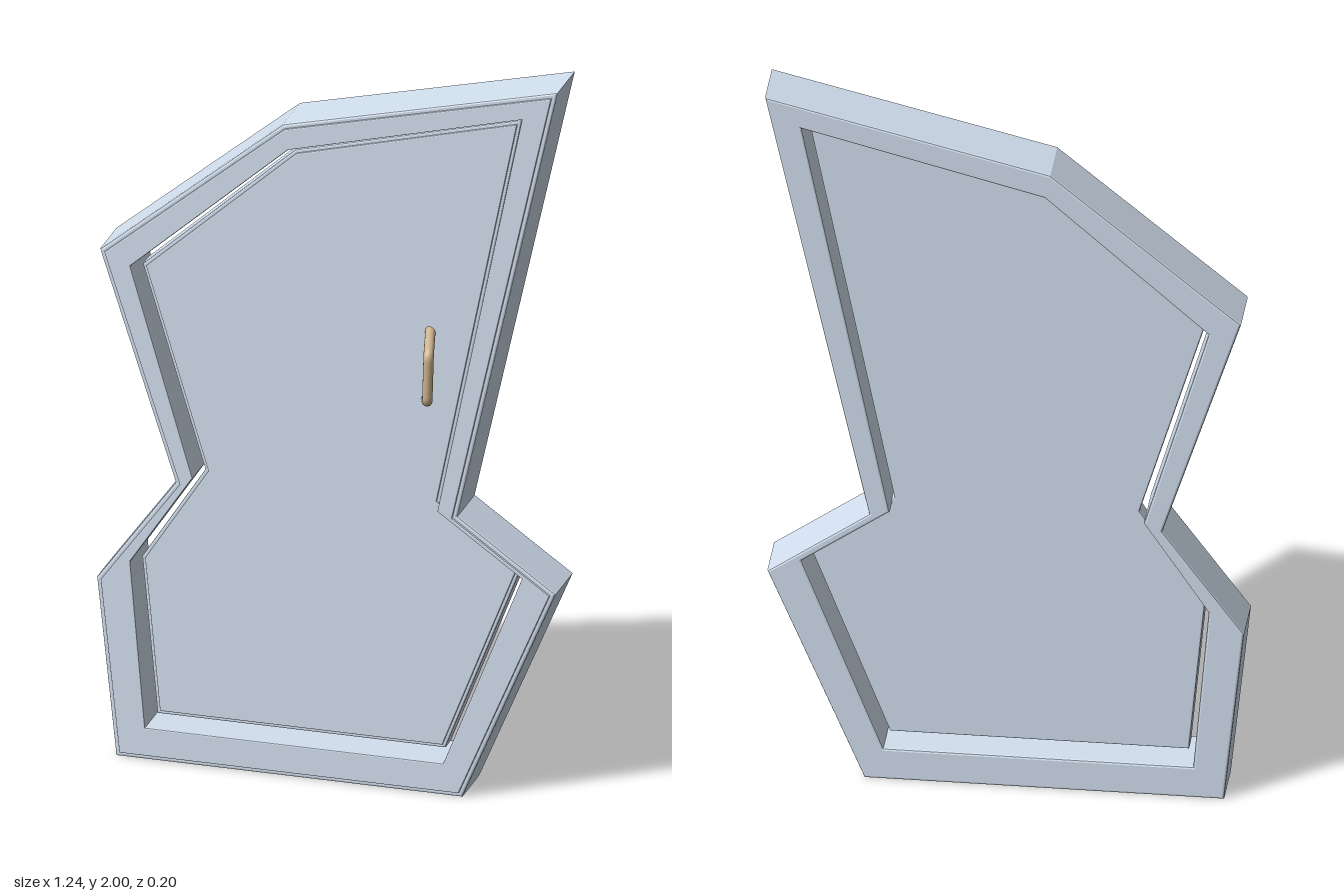
import * as THREE from 'three';

const paint = new THREE.MeshStandardMaterial({ color: 0xd2dfee });
const brass = new THREE.MeshStandardMaterial({ color: 0xccb28c });

// Crooked outlines, counter-clockwise from the lower left corner
const OUTER = [[-0.57, 0], [0.362, 0], [0.614, 0.597], [0.35, 0.783], [0.62, 2],
  [-0.12, 1.82], [-0.614, 1.41], [-0.41, 0.783], [-0.622, 0.493]];
const OPENING = [[-0.49, 0.09], [0.313, 0.09], [0.525, 0.632], [0.297, 0.792], [0.525, 1.915],
  [-0.105, 1.752], [-0.53, 1.375], [-0.362, 0.803], [-0.53, 0.55]];
const PANEL = [[-0.47, 0.115], [0.3, 0.115], [0.505, 0.642], [0.287, 0.802], [0.505, 1.887],
  [-0.1, 1.73], [-0.509, 1.362], [-0.341, 0.808], [-0.511, 0.545]];

const toPoints = (list) => list.map(([x, y]) => new THREE.Vector2(x, y));

// Moves every edge of an outline inwards by d, with mitred corners
function inset(list, d) {
  const n = list.length;
  const normal = (a, b) => {
    const l = Math.hypot(b[0] - a[0], b[1] - a[1]);
    return [-(b[1] - a[1]) / l, (b[0] - a[0]) / l];
  };
  return list.map((p, i) => {
    const a = normal(list[(i + n - 1) % n], p);
    const b = normal(p, list[(i + 1) % n]);
    const k = d / (1 + a[0] * b[0] + a[1] * b[1]);
    return [p[0] + (a[0] + b[0]) * k, p[1] + (a[1] + b[1]) * k];
  });
}

// Bevelled slab between two depths, optionally with an opening
function slab(name, outline, hole, z0, z1, bevel) {
  const shape = new THREE.Shape(toPoints(outline));
  if (hole) shape.holes.push(new THREE.Path(toPoints(hole)));
  const geometry = new THREE.ExtrudeGeometry(shape, {
    depth: z1 - z0 - 2 * bevel,
    bevelThickness: bevel, bevelSize: bevel, bevelOffset: -bevel, bevelSegments: 2,
  });
  geometry.translate(0, 0, z0 + bevel);
  const mesh = new THREE.Mesh(geometry, paint);
  mesh.name = name;
  return mesh;
}

// Bent pull handle: straight grip with two legs running back to the panel
function makeHandle() {
  const knots = [[0.262, 1.275, 0.005], [0.282, 1.237, 0.086], [0.277, 1.106, 0.082], [0.25, 1.077, 0.005]]
    .map((p) => new THREE.Vector3(...p));
  const path = new THREE.CurvePath();
  const near = (a, b) => a.clone().add(b.clone().sub(a).setLength(0.014));
  const [p0, p1, p2, p3] = knots;
  path.add(new THREE.LineCurve3(p0, near(p1, p0)));
  path.add(new THREE.QuadraticBezierCurve3(near(p1, p0), p1, near(p1, p2)));
  path.add(new THREE.LineCurve3(near(p1, p2), near(p2, p1)));
  path.add(new THREE.QuadraticBezierCurve3(near(p2, p1), p2, near(p2, p3)));
  path.add(new THREE.LineCurve3(near(p2, p3), p3));
  const handle = new THREE.Mesh(new THREE.TubeGeometry(path, 64, 0.0135, 14), brass);
  handle.name = 'handle';
  return handle;
}

export function createModel() {
  const model = new THREE.Group();
  model.name = 'crookedDoor';

  // Frame with a thin raised face on the front
  const frame = new THREE.Group();
  frame.name = 'doorFrame';
  frame.add(
    slab('frameBody', OUTER, OPENING, -0.1, 0.055, 0.006),
    slab('frameFace', inset(OUTER, 0.012), OPENING, 0.04, 0.061, 0.003),
  );

  // Door leaf, recessed from both sides with a narrow gap, and a raised front face
  const door = new THREE.Group();
  door.name = 'door';
  door.add(
    slab('doorPanel', inset(PANEL, -0.003), null, -0.045, 0.008, 0.004),
    slab('doorFace', inset(PANEL, 0.006), null, -0.01, 0.013, 0.003),
    makeHandle(),
  );

  model.add(frame, door);
  return model;
}
